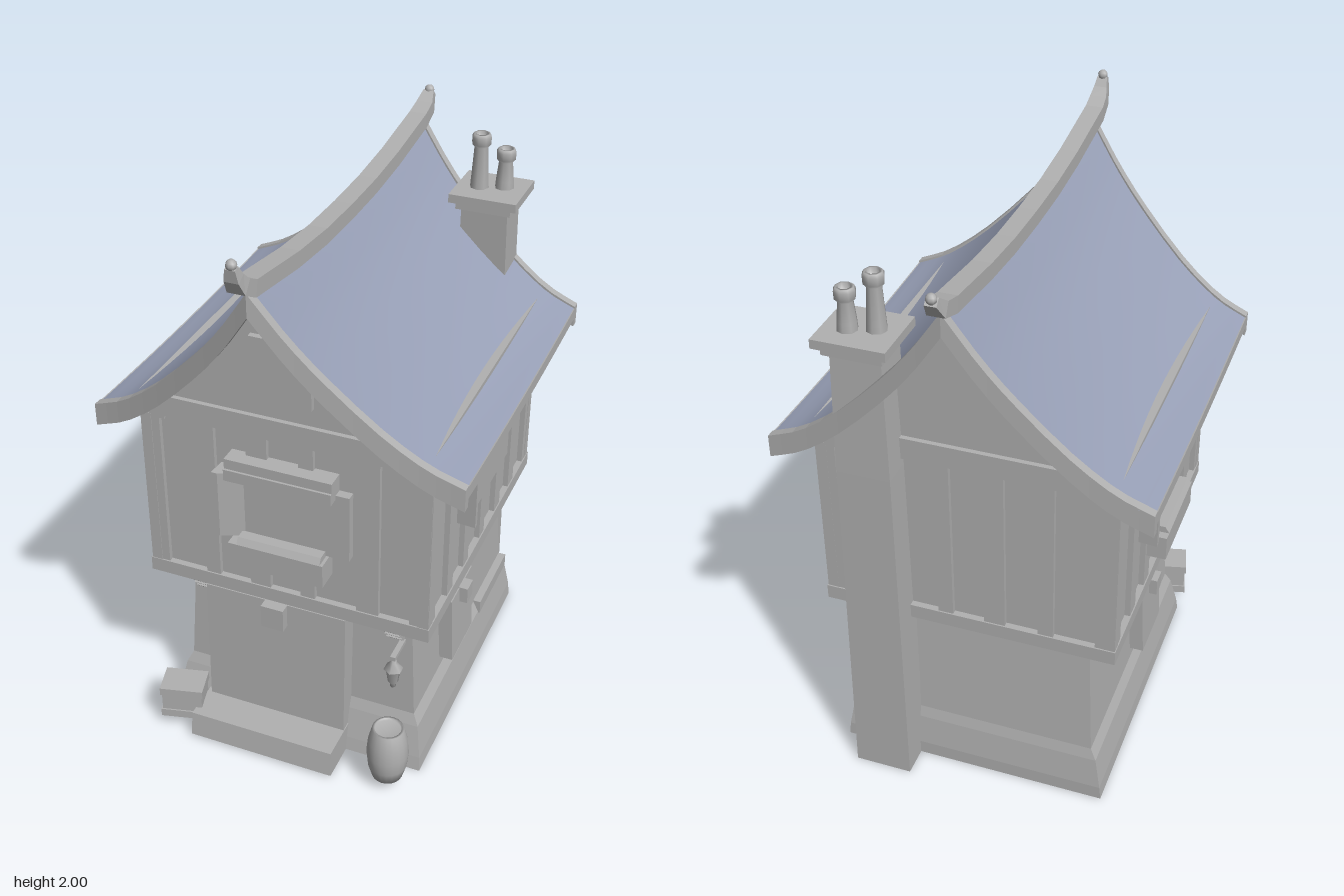
import * as THREE from 'three';
import { ParametricGeometry } from 'three/addons/geometries/ParametricGeometry.js';

const grey = new THREE.MeshStandardMaterial({ color: 0xb0b0b0, side: THREE.DoubleSide });
grey.name = 'stone grey';
const blue = new THREE.MeshStandardMaterial({ color: 0x98a0b7, side: THREE.DoubleSide });
blue.name = 'slate blue';

// Flat-shaded solid through rings of points; the winding is fixed by its volume
function loft(rings, openStart = false) {
  const tris = [];
  const n = rings[0].length;
  for (let i = 0; i < rings.length - 1; i++) {
    for (let j = 0; j < n; j++) {
      const k = (j + 1) % n, a = rings[i], b = rings[i + 1];
      tris.push([a[j], a[k], b[k]], [a[j], b[k], b[j]]);
    }
  }
  const first = rings[0], last = rings[rings.length - 1];
  for (let j = 1; j < n - 1; j++) {
    if (!openStart) tris.push([first[0], first[j + 1], first[j]]);
    tris.push([last[0], last[j], last[j + 1]]);
  }
  const v = (p) => new THREE.Vector3(...p);
  const volume = tris.reduce((s, [a, b, c]) => s + v(a).dot(v(b).cross(v(c))), 0);
  const flat = tris.flatMap(([a, b, c]) => (volume < 0 ? [a, c, b] : [a, b, c])).flat();
  const g = new THREE.BufferGeometry();
  g.setAttribute('position', new THREE.Float32BufferAttribute(flat, 3));
  g.computeVertexNormals();
  return g;
}

// Rectangular ring at height y
const ringAt = (y, x0, x1, z0, z1) => [[x0, y, z0], [x1, y, z0], [x1, y, z1], [x0, y, z1]];

export function createModel() {
  const model = new THREE.Group();
  model.name = 'house';
  const add = (name, geometry, parent = model, material = grey) => {
    const m = new THREE.Mesh(geometry, material);
    m.name = name;
    parent.add(m);
    return m;
  };
  // Box given by its extents
  const box = (name, x0, x1, y0, y1, z0, z1, parent = model) => {
    const m = add(name, new THREE.BoxGeometry(x1 - x0, y1 - y0, z1 - z0), parent);
    m.position.set((x0 + x1) / 2, (y0 + y1) / 2, (z0 + z1) / 2);
    return m;
  };

  // Lower storey with flared foot, hollow from below
  add('lowerStorey', loft([
    [0, 0.46, 0.44, -0.585], [0.05, 0.455, 0.43, -0.585], [0.16, 0.435, 0.4, -0.572],
    [0.2, 0.415, 0.385, -0.562], [0.63, 0.39, 0.365, -0.53],
  ].map(([y, x, zf, zb]) => ringAt(y, -x, x, zb, zf)), true));

  // Upper storey: panels, sills and posts
  box('upperStorey', -0.468, 0.468, 0.64, 1.27, -0.568, 0.468);
  box('sillBeam', -0.49, 0.49, 0.625, 0.675, -0.59, 0.49);
  for (const [x, w] of [[-0.455, 0.065], [-0.26, 0.05], [-0.09, 0.07], [0.075, 0.05], [0.28, 0.075], [0.455, 0.065]]) {
    box('frontPost', x - w / 2, x + w / 2, 0.65, 1.25, 0.45, 0.485);
    box('backPost', x - w / 2, x + w / 2, 0.65, 1.25, -0.585, -0.55);
  }
  for (const s of [-1, 1]) {
    for (const [z, w] of [[0.455, 0.065], [0.28, 0.055], [0.12, 0.05], [-0.05, 0.05], [-0.22, 0.06], [-0.38, 0.06], [-0.553, 0.065]]) {
      box('sidePost', s * 0.468 - 0.018, s * 0.468 + 0.018, 0.65, 1.25, z - w / 2, z + w / 2);
    }
    box('topBeam', s * 0.468 - 0.018, s * 0.468 + 0.018, 1.21, 1.25, -0.585, 0.485);
    box('wallPlate', s * 0.445 - 0.042, s * 0.445 + 0.042, 1.24, 1.327, -0.585, 0.486);
  }

  // Swept roof: profile from ridge to eave, sagging along its length
  const profile = new THREE.CatmullRomCurve3(
    [[0, 1.855], [0.1, 1.71], [0.2, 1.59], [0.37, 1.42], [0.5, 1.325], [0.605, 1.28]]
      .map(([x, y]) => new THREE.Vector3(x, y, 0)));
  const roofPoint = (side, u, w, dy = 0, dz = 0, dx = 0) => {
    const p = profile.getPoint(u);
    const t = Math.max(0, 1 - p.x / 0.605), k = t ** 1.3;
    const zb = -0.655 - 0.06 * k, zf = 0.555 + 0.135 * k;
    const sag = (0.012 + 0.05 * t) * (1 - (2 * w - 1) ** 2);
    return [side * (p.x + dx), p.y - sag + dy, zb + (zf - zb) * w + dz];
  };
  const steps = [...Array(13)].map((_, i) => i / 12);
  for (const s of [-1, 1]) {
    add('roofSlope', new ParametricGeometry((u, w, target) =>
      target.set(...roofPoint(s, s > 0 ? 1 - u : u, w)), 14, 14), model, blue);
    for (const [w, inward] of [[0, 0.03], [1, -0.03]]) {
      add('bargeboard', loft(steps.map((u) => [
        roofPoint(s, u, w, 0.006), roofPoint(s, u, w, 0.006, inward),
        roofPoint(s, u, w, -0.07, inward), roofPoint(s, u, w, -0.07),
      ])));
    }
    add('eaveBoard', loft(steps.map((w) => [
      roofPoint(s, 1, w, 0.002), roofPoint(s, 1, w, -0.04),
      roofPoint(s, 1, w, -0.04, 0, -0.03), roofPoint(s, 1, w, -0.002, 0, -0.03),
    ])));
  }

  // Ridge pole with upturned tips: z, y, half width, half thickness
  add('ridgePole', loft([
    [0.768, 1.975, 0.016, 0.01], [0.755, 1.94, 0.022, 0.018], [0.73, 1.905, 0.028, 0.024],
    [0.68, 1.878, 0.03, 0.026], [0.4, 1.835, 0.03, 0.026], [0.2, 1.817, 0.03, 0.026],
    [0, 1.812, 0.03, 0.026], [-0.2, 1.815, 0.03, 0.026], [-0.4, 1.83, 0.03, 0.026],
    [-0.66, 1.864, 0.03, 0.026], [-0.73, 1.885, 0.028, 0.024], [-0.768, 1.925, 0.018, 0.014],
  ].map(([z, y, w, h], i, all) => {
    // Tilt each section across the path
    const a = all[Math.max(0, i - 1)], b = all[Math.min(all.length - 1, i + 1)];
    const d = new THREE.Vector2(b[0] - a[0], b[1] - a[1]).normalize().multiplyScalar(h);
    return [[-w, y - d.x, z + d.y], [w, y - d.x, z + d.y], [w, y + d.x, z - d.y], [-w, y + d.x, z - d.y]];
  })));
  for (const [y, z] of [[1.982, 0.766], [1.933, -0.768]]) {
    add('ridgeFinial', new THREE.SphereGeometry(0.017, 8, 6)).position.set(0, y, z);
  }

  // Gable walls tucked under the roof
  const gable = new THREE.Shape();
  gable.moveTo(-0.47, 1.24);
  gable.lineTo(0.47, 1.24);
  const edge = steps.map((u) => profile.getPoint(u)).filter((p) => p.x < 0.47);
  for (const p of [...edge].reverse()) gable.lineTo(p.x, p.y - 0.05);
  for (const p of edge.slice(1)) gable.lineTo(-p.x, p.y - 0.05);
  for (const z of [0.44, -0.57]) {
    add('gable', new THREE.ExtrudeGeometry(gable, { depth: 0.03, bevelEnabled: false })).position.z = z;
  }
  box('frontGableBeam', -0.41, 0.41, 1.25, 1.325, 0.45, 0.486);
  box('backGableBeam', -0.41, 0.41, 1.25, 1.325, -0.586, -0.55);
  box('atticShutter', -0.1, 0.1, 1.39, 1.605, 0.45, 0.49);
  box('atticKeystone', -0.02, 0.022, 1.555, 1.608, 0.45, 0.505);

  // Windows with one shutter swung outward, built facing +z from the wall plane
  const bay = (name, angle, x, z, withSill) => {
    const g = new THREE.Group();
    g.name = name;
    const plan = [[-0.23, -0.02], [-0.235, 0.046], [-0.215, 0.046], [-0.14, 0.014], [0.215, 0.014], [0.215, -0.02]];
    add('shutters', loft([0.875, 1.115].map((y) => plan.map(([a, b]) => [a, y, b]))), g);
    box('windowHead', -0.19, 0.17, 1.1, 1.14, -0.02, 0.052, g);
    box('windowHeadTop', -0.19, 0.17, 1.14, 1.175, -0.02, 0.044, g);
    if (withSill) {
      box('flowerBox', -0.18, 0.145, 0.785, 0.87, -0.02, 0.064, g);
      add('flowerBoxLip', loft([
        ringAt(0.87, -0.15, 0.135, -0.02, 0.064), ringAt(0.892, -0.15, 0.135, -0.02, 0.05),
      ]), g);
    }
    g.rotation.y = angle;
    g.position.set(x, 0, z);
    model.add(g);
  };
  bay('frontWindow', 0, 0.01, 0.485, true);
  bay('leftWindow', Math.PI / 2, 0.485, -0.05, false);
  bay('rightWindow', -Math.PI / 2, -0.485, -0.05, true);

  // Door and step
  add('door', loft([ringAt(0.08, -0.315, 0.187, 0.36, 0.455), ringAt(0.575, -0.315, 0.187, 0.34, 0.44)]));
  box('doorKeystone', -0.1, -0.02, 0.49, 0.575, 0.4, 0.475);
  add('doorStep', loft([
    ringAt(0, -0.33, 0.19, 0.36, 0.575), ringAt(0.012, -0.33, 0.19, 0.36, 0.588), ringAt(0.1, -0.33, 0.19, 0.36, 0.575),
  ]));

  // Small shuttered windows on the lower sides
  for (const s of [-1, 1]) {
    const g = new THREE.Group();
    g.name = 'sideShutter';
    g.rotation.y = s * Math.PI / 2;
    g.position.set(s * 0.4, 0, 0.015);
    add('shutterPanel', loft([ringAt(0.24, -0.11, 0.105, -0.015, 0.06), ringAt(0.495, -0.11, 0.105, -0.015, 0.048)]), g);
    box('shutterKeystone', -0.027, 0.03, 0.437, 0.497, -0.015, 0.077, g);
    model.add(g);
  }
  box('sideLedge', 0.4, 0.442, 0.155, 0.205, -0.56, -0.25);

  // Ribbed brackets under the overhang
  for (const [x, n] of [[-0.345, 5], [0, 2], [0.345, 5]]) {
    for (let i = 0; i < n; i++) {
      const y = 0.63 - i * 0.024, z = 0.475 - i * 0.016;
      add('bracket', loft([
        ringAt(y - 0.024, x - 0.026, x + 0.026, 0.37, z - 0.025), ringAt(y, x - 0.026, x + 0.026, 0.37, z),
      ]));
    }
  }

  // Chimney with cap and pots
  add('chimney', loft([
    ringAt(0, 0.19, 0.385, -0.56, -0.685), ringAt(1.22, 0.2, 0.375, -0.54, -0.672), ringAt(1.65, 0.21, 0.37, -0.525, -0.66),
  ]));
  box('chimneyCollar', 0.195, 0.385, 1.635, 1.667, -0.685, -0.505);
  box('chimneyCap', 0.175, 0.408, 1.662, 1.692, -0.703, -0.487);
  const lathe = (name, pts, sides, x, y, z) => {
    const g = new THREE.LatheGeometry(pts.map(([r, h]) => new THREE.Vector2(r, h)), sides);
    add(name, g).position.set(x, y, z);
    return g;
  };
  for (const [x, z, h] of [[0.25, -0.588, 0.19], [0.33, -0.613, 0.14]]) {
    lathe('chimneyPot', [[0.033, 0], [0.031, 0.03], [0.024, h - 0.045], [0.033, h - 0.035],
      [0.034, h - 0.01], [0.028, h], [0.02, h], [0.02, h - 0.025], [0, h - 0.025]], 8, x, 1.69, z);
  }

  // Barrel, lantern and crate by the door
  lathe('barrel', [[0, 0], [0.052, 0], [0.066, 0.05], [0.071, 0.1], [0.066, 0.155], [0.053, 0.205],
    [0.045, 0.205], [0.045, 0.195], [0, 0.195]], 20, 0.377, 0.047, 0.53);
  lathe('lantern', [[0, 0], [0.01, 0.005], [0.01, 0.018], [0.017, 0.025], [0.025, 0.075], [0.033, 0.08],
    [0.012, 0.105], [0.008, 0.13], [0, 0.13]], 6, 0.365, 0.37, 0.46);
  box('lanternArm', 0.356, 0.374, 0.49, 0.505, 0.37, 0.47);
  const crate = new THREE.Group();
  crate.name = 'crate';
  box('crateBody', -0.07, 0.07, 0.055, 0.17, -0.05, 0.05, crate);
  for (const y of [0.05, 0.145]) box('crateRim', -0.075, 0.075, y, y + 0.03, -0.055, 0.055, crate);
  crate.position.set(-0.39, 0, 0.51);
  crate.rotation.y = 0.25;
  model.add(crate);

  return model;
}
